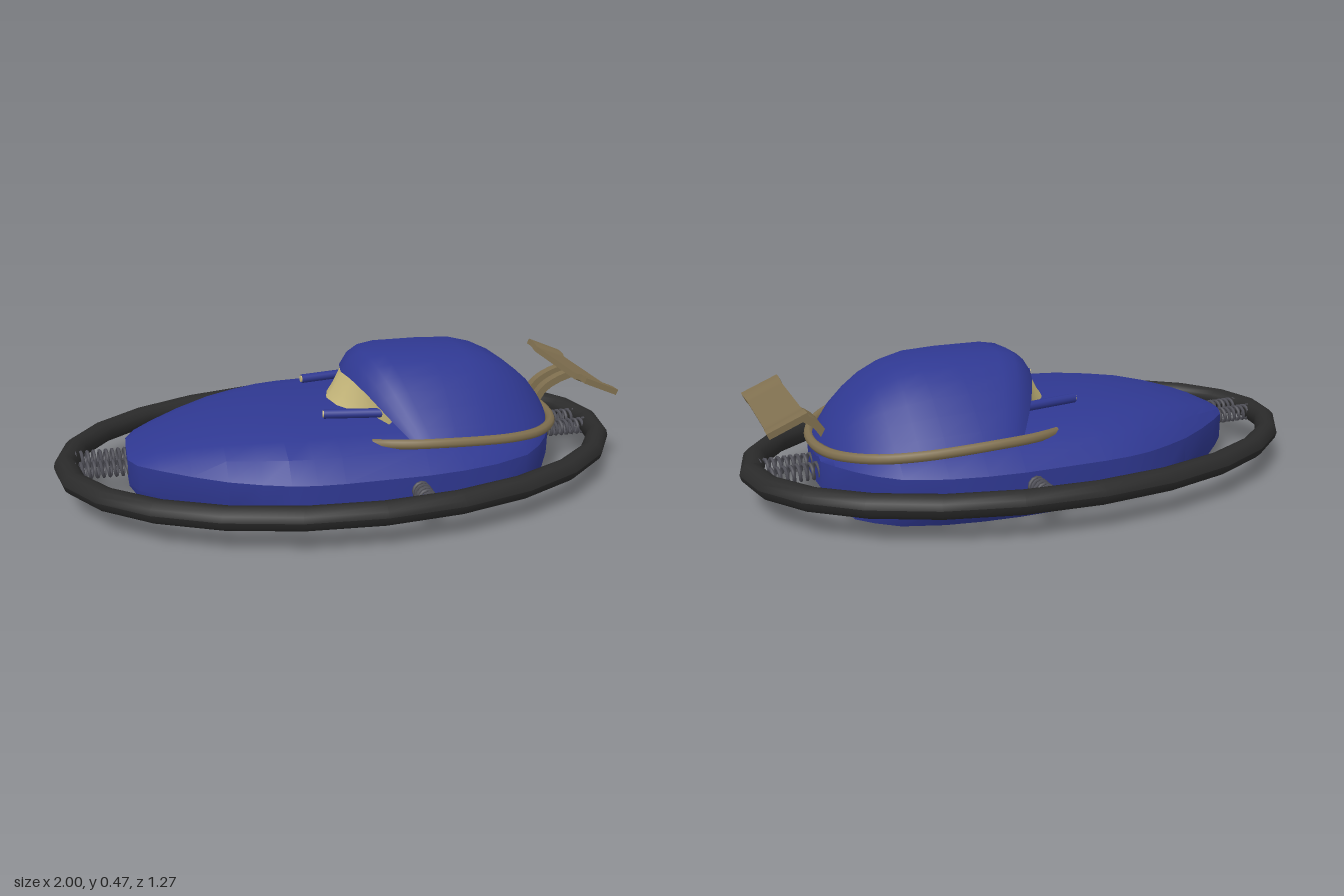
import * as THREE from 'three';
import { toCreasedNormals } from 'three/addons/utils/BufferGeometryUtils.js';

const V = (x, y, z) => new THREE.Vector3(x, y, z);
const mat = (name, color, side = THREE.FrontSide) => {
  const m = new THREE.MeshStandardMaterial({ color, side });
  m.name = name;
  return m;
};

// Skin a list of cross-sections, each a list of points
function loft(sections, crease = 0.5) {
  const n = sections[0].length, index = [];
  for (let i = 0; i < sections.length - 1; i++) {
    for (let j = 0; j < n - 1; j++) {
      const a = i * n + j, b = a + n;
      index.push(a, b, b + 1, a, b + 1, a + 1);
    }
  }
  const g = new THREE.BufferGeometry().setFromPoints(sections.flat());
  g.setIndex(index);
  return toCreasedNormals(g, crease);
}

class Coil extends THREE.Curve {
  constructor(length, turns, radius) {
    super();
    Object.assign(this, { length, turns, radius });
  }
  getPoint(t, out = new THREE.Vector3()) {
    const a = t * this.turns * Math.PI * 2;
    return out.set(t * this.length, Math.cos(a) * this.radius, Math.sin(a) * this.radius);
  }
}

export function createModel() {
  const car = new THREE.Group();
  car.name = 'bumperCar';
  const blue = mat('bodyBlue', 0x2f3891);
  const shellBlue = blue;
  shellBlue.side = THREE.DoubleSide;
  const bronze = mat('trimBronze', 0x7f6f4f);
  const cream = mat('windshieldCream', 0xc8b97c, THREE.DoubleSide);
  const black = mat('rubberBlack', 0x2a2a2a);
  const grey = mat('springGrey', 0x505058);
  const add = (name, geometry, material) => {
    const mesh = new THREE.Mesh(geometry, material);
    mesh.name = name;
    car.add(mesh);
    return mesh;
  };

  // Oval rubber ring
  const ring = new THREE.TorusGeometry(0.961, 0.039, 12, 24).rotateX(Math.PI / 2);
  const rp = ring.attributes.position;
  for (let i = 0; i < rp.count; i++) {
    const a = Math.atan2(rp.getZ(i), rp.getX(i));
    rp.setZ(i, rp.getZ(i) - Math.sin(a) * 0.366);
  }
  ring.translate(0, 0.124, 0);
  ring.computeVertexNormals();
  add('bumperRing', ring, black);

  // Hull stations: x, half width, floor height, deck height
  const hull = [
    [-0.757, 0.001, 0.07, 0.178], [-0.755, 0.1, 0.07, 0.178], [-0.725, 0.16, 0.045, 0.193],
    [-0.66, 0.215, 0.025, 0.218], [-0.56, 0.29, 0.012, 0.248], [-0.45, 0.36, 0.005, 0.272],
    [-0.35, 0.405, 0.002, 0.285], [-0.26, 0.437, 0, 0.293], [-0.18, 0.452, 0, 0.296],
    [-0.09, 0.458, 0, 0.297], [0.19, 0.457, 0, 0.297], [0.31, 0.445, 0, 0.29],
    [0.43, 0.421, 0, 0.28], [0.56, 0.37, 0, 0.26], [0.63, 0.305, 0, 0.24],
    [0.68, 0.24, 0, 0.225], [0.725, 0.165, 0.038, 0.205], [0.757, 0.1, 0.075, 0.185],
    [0.759, 0.001, 0.075, 0.185],
  ].map(([x, w, floor, top]) => {
    const h = top - 0.17;
    const half = [[0, floor], [0.88, floor], [1, 0.08], [1, 0.17], [0.87, 0.17 + h * 0.52],
      [0.68, 0.17 + h * 0.78], [0.46, 0.17 + h * 0.95], [0, top]];
    const left = half.map(([s, y]) => V(x, y, s * w));
    const right = half.slice(0, -1).reverse().map(([s, y]) => V(x, y, -s * w));
    return [...left, ...right];
  });
  add('hull', loft(hull), blue);

  // Canopy with a swept-back front opening
  const arch = [[1, 0], [0.88, 0.22], [0.75, 0.43], [0.62, 0.63], [0.5, 0.79], [0.36, 0.92], [0.22, 1], [0, 1]];
  const sides = [...arch, ...arch.slice(0, -1).reverse().map(([s, t]) => [-s, t])];
  const sweep = (s) => 0.17 * Math.abs(s) ** 1.7;
  const canopy = [ // x, half width, base height, roof height
    [0, 0.375, 0.235, 0.39], [0.03, 0.382, 0.235, 0.435], [0.07, 0.388, 0.235, 0.46],
    [0.13, 0.394, 0.235, 0.47], [0.3, 0.4, 0.235, 0.47], [0.42, 0.387, 0.23, 0.465],
    [0.5, 0.366, 0.225, 0.445], [0.57, 0.332, 0.22, 0.412], [0.63, 0.283, 0.215, 0.37],
    [0.68, 0.23, 0.208, 0.325], [0.72, 0.17, 0.2, 0.275], [0.745, 0.12, 0.19, 0.235],
    [0.762, 0.07, 0.18, 0.2], [0.763, 0.001, 0.18, 0.19],
  ].map(([x, w, base, top]) => sides.map(([s, t]) =>
    V(x + sweep(s) * Math.max(0, 1 - x / 0.3), base + t * (top - base), s * w)));
  add('canopy', loft(canopy, 0.7), shellBlue);

  // Curved windshield filling the opening
  const glassTop = canopy[0].filter((p) => Math.abs(p.z) < 0.29);
  const glass = [0, 0.5, 1].map((k) => glassTop.map((p) => {
    const x = Math.min(-0.065 + 3.2 * p.z * p.z, p.x);
    return V(x + (p.x + 0.006 - x) * k, 0.28 + (p.y - 0.285) * k ** 1.2, p.z * (0.93 + 0.06 * k));
  }));
  add('windshield', loft(glass, 0.6), cream);

  // Wrap-around rail
  const railHalf = [[0.03, 0.245, 0.33], [0.07, 0.25, 0.357], [0.15, 0.254, 0.388], [0.25, 0.254, 0.4],
    [0.38, 0.247, 0.393], [0.5, 0.238, 0.37], [0.61, 0.228, 0.32], [0.69, 0.219, 0.24], [0.74, 0.211, 0.14]];
  const railPath = [...railHalf.map(([x, y, z]) => V(x, y, z)), V(0.76, 0.207, 0),
    ...railHalf.slice().reverse().map(([x, y, z]) => V(x, y, -z))];
  add('rearRail', new THREE.TubeGeometry(new THREE.CatmullRomCurve3(railPath), 60, 0.017, 8), bronze);

  // Spoiler blade: the tips are raised and slightly wider
  const blade = new THREE.BoxGeometry(0.135, 0.02, 0.5, 1, 1, 20);
  const bp = blade.attributes.position;
  for (let i = 0; i < bp.count; i++) {
    const k = THREE.MathUtils.smoothstep(Math.abs(bp.getZ(i)), 0.17, 0.21);
    bp.setX(i, bp.getX(i) * (0.95 + 0.05 * k));
    bp.setY(i, bp.getY(i) + 0.009 * k);
  }
  blade.rotateZ(-0.4).translate(0.873, 0.339, 0);
  add('spoilerBlade', toCreasedNormals(blade, 0.5), bronze);

  for (const side of [1, -1]) {
    const label = side > 0 ? 'left' : 'right';
    add(label + 'RailEnd', new THREE.SphereGeometry(0.017, 8, 6).translate(0.03, 0.245, side * 0.33), bronze);

    // Curved spoiler strut
    const strut = new THREE.CatmullRomCurve3([V(0.725, 0.235, 0), V(0.755, 0.28, 0), V(0.8, 0.31, 0), V(0.87, 0.335, 0)]);
    const strutSections = strut.getPoints(8).map((p, i) => {
      const t = strut.getTangent(i / 8);
      const corner = (u, w) => V(p.x - t.y * u, p.y + t.x * u, side * 0.035 + w);
      return [corner(-0.013, 0.016), corner(0.013, 0.016), corner(0.013, -0.016),
        corner(-0.013, -0.016), corner(-0.013, 0.016)];
    });
    add(label + 'SpoilerStrut', loft(strutSections), bronze);

    // Side tube next to the windshield, with a pale tip
    const tube = new THREE.Group();
    tube.name = label + 'SideTube';
    const body = new THREE.Mesh(new THREE.CylinderGeometry(0.016, 0.016, 0.22, 10).rotateZ(Math.PI / 2), blue);
    body.name = 'tubeBody';
    const tip = new THREE.Mesh(new THREE.CylinderGeometry(0.012, 0.012, 0.006, 10).rotateZ(Math.PI / 2), cream);
    tip.name = 'tubeTip';
    tip.position.x = -0.111;
    tube.add(body, tip);
    tube.position.set(0.005, 0.309, side * 0.208);
    tube.rotation.y = -side * 0.17;
    car.add(tube);

    // Coil springs between hull and ring
    const springs = [['Front', -0.95, side * 0.05, 0.21, 0], ['Rear', 0.74, side * 0.05, 0.21, 0],
      ['Side', 0.157, side * 0.44, 0.14, -side * Math.PI / 2]];
    for (const [place, x, z, length, turn] of springs) {
      const turns = Math.round(length / 0.021);
      const coil = new THREE.TubeGeometry(new Coil(length, turns, 0.026), turns * 12, 0.006, 5);
      const spring = add(label + place + 'Spring', coil, grey);
      spring.position.set(x, 0.124, z);
      spring.rotation.y = turn;
    }
  }
  return car;
}
